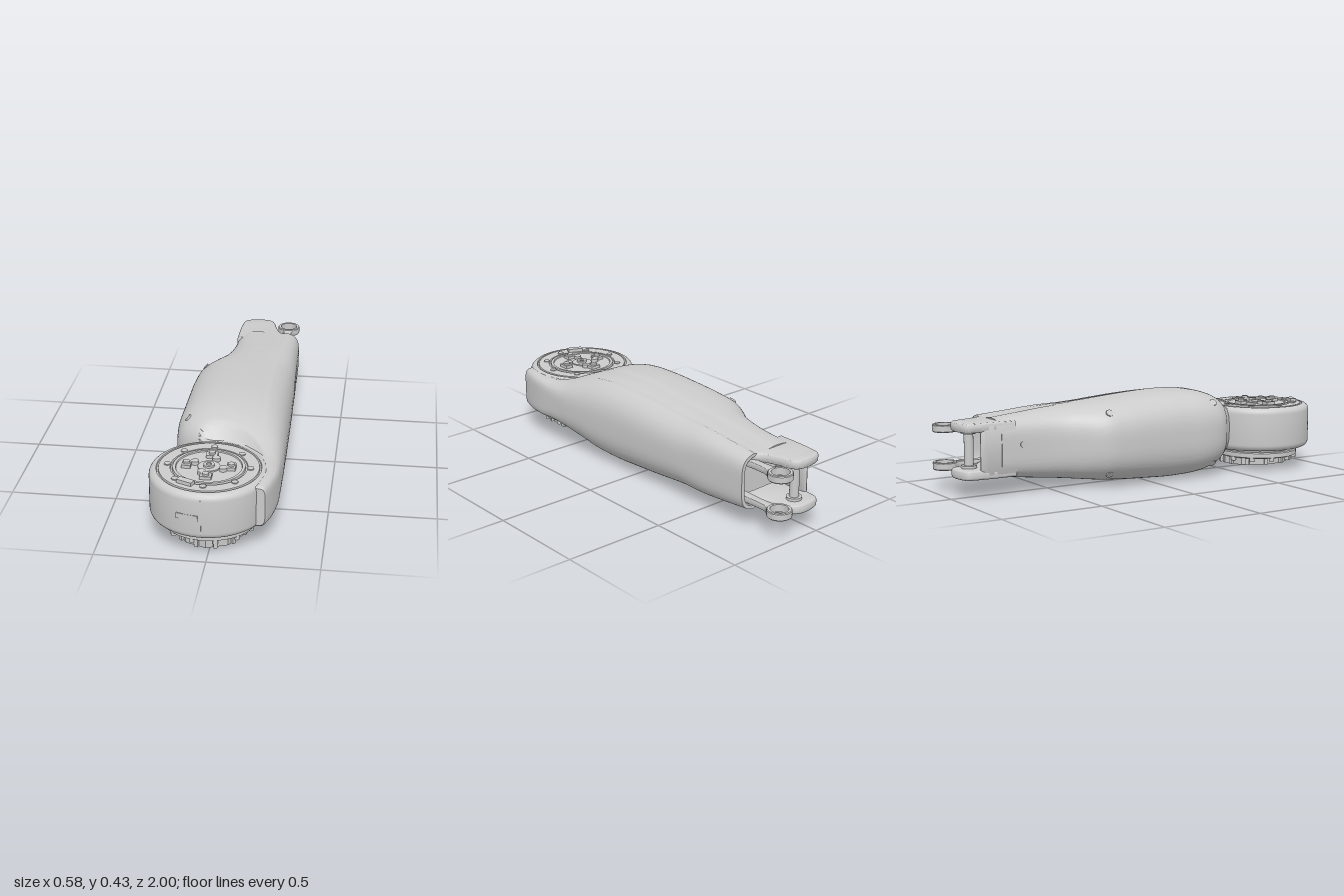
import * as THREE from 'three';
import { toCreasedNormals } from 'three/addons/utils/BufferGeometryUtils.js';

const grey = new THREE.MeshStandardMaterial({ color: 0xcccccc, side: THREE.DoubleSide });
const HUB = { x: -0.022, z: 0.73, r: 0.267 };

function add(parent, name, geo, x = 0, y = 0, z = 0) {
  const mesh = new THREE.Mesh(geo, grey);
  mesh.name = name;
  mesh.position.set(x, y, z);
  parent.add(mesh);
  return mesh;
}
const cyl = (r, h, n = 24, r2 = r) => new THREE.CylinderGeometry(r, r2, h, n);
const lathe = (pts, n = 72) =>
  toCreasedNormals(new THREE.LatheGeometry(pts.map(p => new THREE.Vector2(...p)), n), 0.6);

// Housing stations: z, then left x, right x, bottom y, top y, squareness
const stations = [
  [-0.775, -0.078, 0.25, 0.083, 0.358, 4.2],
  [-0.6, -0.09, 0.256, 0.062, 0.375, 3.6],
  [-0.5, -0.11, 0.26, 0.051, 0.386, 3.3],
  [-0.42, -0.142, 0.263, 0.043, 0.394, 3],
  [-0.35, -0.19, 0.266, 0.036, 0.401, 2.8],
  [-0.28, -0.224, 0.268, 0.029, 0.408, 2.8],
  [-0.18, -0.235, 0.271, 0.02, 0.417, 2.8],
  [0, -0.236, 0.276, 0.009, 0.43, 2.8],
  [0.15, -0.236, 0.28, 0.004, 0.435, 2.8],
  [0.3, -0.235, 0.284, 0.014, 0.426, 2.8],
  [0.38, -0.216, 0.286, 0.034, 0.408, 2.8],
  [0.42, -0.187, 0.287, 0.048, 0.393, 2.9],
  [0.46, -0.14, 0.288, 0.063, 0.377, 3],
  [0.52, -0.1, 0.288, 0.085, 0.353, 3.4],
  [0.6, -0.06, 0.288, 0.108, 0.332, 4.5],
  [0.7, 0, 0.285, 0.114, 0.326, 6],
  [0.8, 0.06, 0.268, 0.115, 0.325, 6],
  [0.865, 0.11, 0.247, 0.122, 0.318, 6],
];
const spline = new THREE.CubicInterpolant(
  stations.map(s => s[0]), stations.flatMap(s => s.slice(1)), 5);
const section = z => Array.from(spline.evaluate(z));

function skinPoint(a, z) {
  const [l, r, b, t, n] = section(z);
  const c = Math.cos(a), s = Math.sin(a);
  const x = (l + r) / 2 + (r - l) / 2 * Math.sign(c) * Math.abs(c) ** (2 / n);
  let h = (t - b) / 2 * Math.sign(s) * Math.abs(s) ** (2 / n);
  // shallow channel between the two shell halves
  if (z < 0.46) {
    const step = (e0, e1) => THREE.MathUtils.smoothstep(x, e0, e1);
    const edge = 0.175 + 0.025 * Math.max(z, 0);
    const band = step(0.056, 0.07) * (1 - step(edge - 0.012, edge));
    h -= Math.sign(h) * 0.006 * band * (1 - THREE.MathUtils.smoothstep(z, 0.3, 0.46));
  }
  // blend down to the hub where the housing wraps it
  const d = Math.hypot(x - HUB.x, z - HUB.z);
  const limit = 0.104 + Math.max(0, d - HUB.r) * 1.3;
  if (z > 0.3) h = THREE.MathUtils.clamp(h, -limit, limit);
  return [x, (b + t) / 2 + h, z];
}

function housingGeometry() {
  const N = 144, rows = 90, z0 = -0.775, z1 = 0.865, rings = [];
  const ring = (z, k = 1, zOut = z) => {
    const [l, r, b, t] = section(z), cx = (l + r) / 2, cy = (b + t) / 2;
    rings.push(Array.from({ length: N }, (_, i) => {
      const [x, y] = skinPoint(i / N * Math.PI * 2, z);
      return [cx + (x - cx) * k, cy + (y - cy) * k, zOut];
    }));
  };
  // pocket at the rear, outer skin, rounded front end
  ring(z0, 0.001, -0.68); ring(z0, 0.88, -0.68); ring(z0, 0.9);
  for (let i = 0; i <= rows; i++) ring(z0 + (z1 - z0) * i / rows);
  ring(z1, 0.94, z1 + 0.006); ring(z1, 0.001, z1 + 0.006);
  const index = [];
  for (let j = 0; j < rings.length - 1; j++) for (let i = 0; i < N; i++) {
    const a = j * N + i, b = j * N + (i + 1) % N;
    index.push(a, b, a + N, b, b + N, a + N);
  }
  const g = new THREE.BufferGeometry();
  g.setAttribute('position', new THREE.Float32BufferAttribute(rings.flat(2), 3));
  g.setIndex(index);
  return toCreasedNormals(g, 0.7);
}

// Plan outline in (x, z), extruded upward from y
function plate(outline, y, h, bevel) {
  const shape = new THREE.Shape();
  shape.moveTo(outline[0][0], -outline[0][1]);
  shape.splineThru(outline.slice(1).map(p => new THREE.Vector2(p[0], -p[1])));
  const g = new THREE.ExtrudeGeometry(shape, {
    depth: h - 2 * bevel, bevelSize: bevel, bevelThickness: bevel,
    bevelOffset: -bevel, bevelSegments: 4, curveSegments: 32 });
  g.rotateX(-Math.PI / 2).translate(0, y + bevel, 0);
  return toCreasedNormals(g, 0.6);
}

function buildHub() {
  const hub = new THREE.Group();
  hub.name = 'jointHub';
  hub.position.set(HUB.x, 0, HUB.z);
  // drum with rounded rims and a grooved top
  const R = HUB.r, c = 0.032, profile = [[0, 0.11]];
  const corner = (y, a0) => {
    for (let i = 0; i <= 6; i++) {
      const a = a0 + i / 6 * Math.PI / 2;
      profile.push([R - c + c * Math.cos(a), y + c * Math.sin(a)]);
    }
  };
  corner(0.11 + c, -Math.PI / 2);
  corner(0.33 - c, 0);
  profile.push([0.234, 0.33], [0.232, 0.324], [0.226, 0.324], [0.224, 0.331], [0.172, 0.331],
    [0.17, 0.322], [0.163, 0.322], [0.161, 0.334], [0.148, 0.334], [0.146, 0.328], [0, 0.328]);
  add(hub, 'drum', lathe(profile, 96));
  add(hub, 'topBoss', lathe([[0.05, 0.328], [0.05, 0.334], [0.025, 0.334], [0.025, 0.344],
    [0.012, 0.344], [0.012, 0.337], [0, 0.337]], 32));
  // screws and clamp blocks on the cover
  for (let i = 0; i < 8; i++) {
    const a = i * Math.PI / 4;
    add(hub, 'coverScrew', cyl(0.015, 0.008, 18), 0.186 * Math.cos(a), 0.332, 0.186 * Math.sin(a));
  }
  for (let i = 0; i < 4; i++) {
    const a = i * Math.PI / 2, b = a + 0.35;
    const block = add(hub, 'clampBlock', new THREE.BoxGeometry(0.04, 0.016, 0.052),
      0.1 * Math.cos(a), 0.335, 0.1 * Math.sin(a));
    block.rotation.y = -a;
    add(hub, 'clampScrew', cyl(0.015, 0.02, 18), 0.1 * Math.cos(a), 0.343, 0.1 * Math.sin(a));
    add(hub, 'innerScrew', cyl(0.018, 0.018, 18), 0.07 * Math.cos(b), 0.335, 0.07 * Math.sin(b));
  }
  const tab = add(hub, 'coverTab', new THREE.BoxGeometry(0.075, 0.02, 0.03), -0.08, 0.338, 0.165);
  tab.rotation.y = -0.4;
  // front seam and latch
  add(hub, 'frontSeam', new THREE.BoxGeometry(0.003, 0.17, 0.004), 0, 0.22, R);
  const latch = add(hub, 'frontLatch', new THREE.BoxGeometry(0.1, 0.026, 0.012), -0.06, 0.218, 0.255);
  latch.rotation.y = -0.22;

  // output flange underneath
  add(hub, 'flangeNeck', cyl(0.19, 0.03, 64), 0, 0.103, 0);
  add(hub, 'flange', lathe([[0, 0.065], [0.205, 0.065], [0.215, 0.07], [0.215, 0.092],
    [0.21, 0.097], [0, 0.097]])).scale.set(1, 1, 0.94);
  const skirt = add(hub, 'flangeSkirt', lathe([[0, 0.058], [0.155, 0.026], [0.168, 0.026],
    [0.17, 0.07], [0, 0.07]], 10), 0.01);
  skirt.scale.set(0.95, 1, 1.13);
  for (let i = 0; i < 12; i++) {
    const a = (i + 0.5) * Math.PI / 6, x = Math.cos(a), z = Math.sin(a);
    add(hub, 'flangeBolt', cyl(0.013, 0.022, 12), 0.2 * x, 0.06, 0.188 * z);
    const rib = add(hub, 'skirtRib', new THREE.BoxGeometry(0.026, 0.036, 0.018),
      0.01 + 0.158 * x, 0.046, 0.184 * z);
    rib.rotation.y = -a;
  }
  return hub;
}

function buildFork() {
  const fork = new THREE.Group();
  fork.name = 'rearFork';
  const outline = [[-0.074, -0.7], [-0.073, -0.8], [-0.069, -0.88], [-0.058, -0.94], [-0.01, -0.962],
    [0.055, -0.965], [0.098, -0.94], [0.122, -0.86], [0.145, -0.8], [0.18, -0.76], [0.185, -0.7]];
  // upper and lower cheeks
  add(fork, 'upperCheek', plate(outline, 0.308, 0.044, 0.012));
  add(fork, 'lowerCheek', plate(outline, 0.09, 0.044, 0.012));
  // side web and cross pin
  add(fork, 'sideWeb', plate([[-0.074, -0.7], [-0.073, -0.8], [-0.069, -0.865], [-0.055, -0.875],
    [-0.046, -0.85], [-0.044, -0.78], [-0.044, -0.7]], 0.105, 0.235, 0.004));
  add(fork, 'pin', cyl(0.022, 0.19), 0.035, 0.22, -0.89);
  for (const y of [0.139, 0.303]) add(fork, 'pinCollar', cyl(0.036, 0.016), 0.035, y, -0.89);
  add(fork, 'pinHead', cyl(0.024, 0.006), 0.035, 0.089, -0.89);
  return fork;
}

// Ring-ended tendon link
function buildLink(y) {
  const link = new THREE.Group();
  link.name = 'ringLink';
  link.position.set(0.18, y, -0.943);
  const h = 0.018;
  add(link, 'ring', lathe([[0.042, -h], [0.054, -h], [0.057, -h + 0.004], [0.057, h - 0.004],
    [0.054, h], [0.042, h], [0.042, -h]], 40));
  add(link, 'linkArm', plate([[-0.034, 0.046], [-0.022, 0.07], [-0.019, 0.12], [-0.019, 0.28],
    [0.019, 0.28], [0.019, 0.12], [0.022, 0.07], [0.034, 0.046], [0, 0.054]], -0.015, 0.03, 0.003));
  return link;
}

export function createModel() {
  const model = new THREE.Group();
  model.name = 'armLink';
  add(model, 'housing', housingGeometry());
  model.add(buildHub(), buildFork(), buildLink(0.308), buildLink(0.13));

  // shell screws along the right-hand shoulder, above and below
  for (const z of [-0.26, 0.34]) for (const a of [0.76 * Math.PI, 1.24 * Math.PI]) {
    const screw = add(model, 'shellScrew', cyl(0.018, 0.008, 20), ...skinPoint(a, z));
    screw.rotation.z = Math.sin(a) > 0 ? 0.85 : Math.PI - 0.85;
  }
  const sideScrew = add(model, 'sideScrew', cyl(0.014, 0.006, 20), -0.084, 0.24, -0.67);
  sideScrew.rotation.z = Math.PI / 2;
  return model;
}
